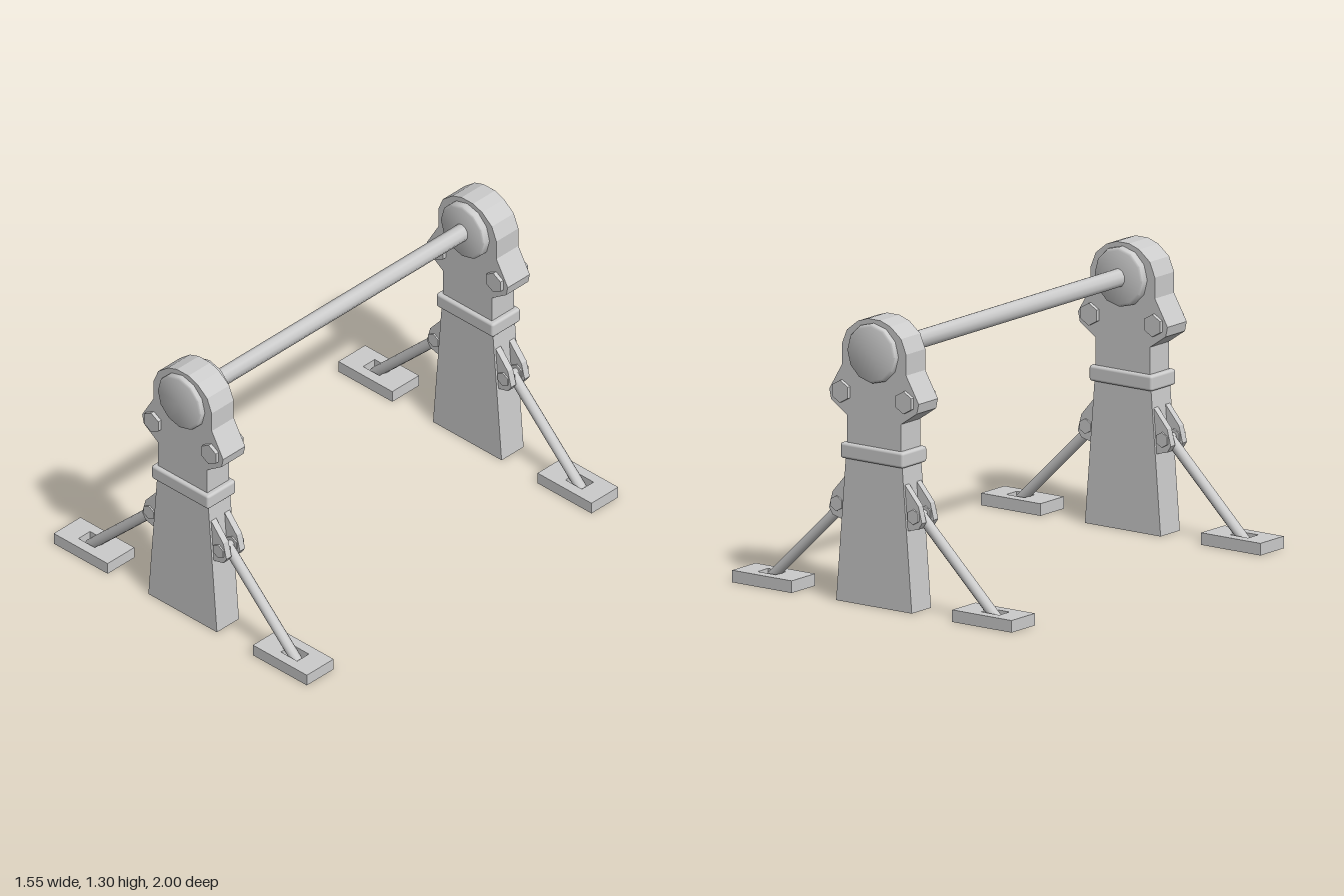
import * as THREE from 'three';
import { RoundedBoxGeometry } from 'three/addons/geometries/RoundedBoxGeometry.js';
import { toCreasedNormals } from 'three/addons/utils/BufferGeometryUtils.js';

const smooth = new THREE.MeshStandardMaterial({ color: 0xcccccc });

function add(parent, name, geometry, x = 0, y = 0, z = 0) {
  const mesh = new THREE.Mesh(geometry, smooth);
  mesh.name = name;
  mesh.position.set(x, y, z);
  parent.add(mesh);
  return mesh;
}

const toShape = (pts) => new THREE.Shape(pts.map(([x, y]) => new THREE.Vector2(x, y)));

// Flat plate in the xy plane, centred on z = 0
function plate(shape, depth) {
  const g = new THREE.ExtrudeGeometry(shape, { depth, bevelEnabled: false });
  return g.translate(0, 0, -depth / 2);
}

// Outline mirrored across x = 0 from its right half (bottom to top)
const mirrored = (half) => toShape([...half, ...half.map(([x, y]) => [-x, y]).reverse()]);

// Round or hexagonal bar along z, a vertex pointing up
function barZ(radius, length, sides) {
  const g = new THREE.CylinderGeometry(radius, radius, length, sides);
  return toCreasedNormals(g.rotateX(Math.PI / 2), 0.8);
}

// Disc with rounded rims, axis along z
function hubGeometry(r, halfDepth, b) {
  const h = halfDepth, k = b * 0.3;
  const profile = [
    [0, -h], [r - b, -h], [r - k, -h + k], [r, -h + b],
    [r, h - b], [r - k, h - k], [r - b, h], [0, h],
  ].map(([x, y]) => new THREE.Vector2(x, y));
  return toCreasedNormals(new THREE.LatheGeometry(profile, 12).rotateX(Math.PI / 2), 0.8);
}

// Diagonal brace with its lugs, bolts and foot, on the +x side
function createBrace() {
  const brace = new THREE.Group();
  brace.name = 'brace';

  // Foot: solid base with a pocket for the strut
  const rim = toShape([[0.445, -0.085], [0.775, -0.085], [0.775, 0.085], [0.445, 0.085]]);
  rim.holes.push(toShape([[0.57, -0.037], [0.57, 0.037], [0.67, 0.037], [0.67, -0.037]]));
  const rimGeo = plate(rim, 0.043).rotateX(-Math.PI / 2);
  add(brace, 'footRim', rimGeo, 0, 0.0335, 0);
  add(brace, 'footBase', new THREE.BoxGeometry(0.33, 0.012, 0.17), 0.61, 0.006, 0);

  // Strut from the lugs down into the pocket
  const top = new THREE.Vector3(0.205, 0.436, 0);
  const end = new THREE.Vector3(0.635, 0.02, 0);
  const dir = end.clone().sub(top);
  const strut = add(brace, 'strut',
    toCreasedNormals(new THREE.CylinderGeometry(0.025, 0.025, dir.length(), 12), 0.8));
  strut.position.copy(top).add(end).multiplyScalar(0.5);
  strut.quaternion.setFromUnitVectors(new THREE.Vector3(0, 1, 0), dir.normalize());

  // Pair of lugs with hexagonal bolts and the pin between them
  const lug = toShape([
    [0.13, 0.37], [0.175, 0.367], [0.238, 0.383], [0.258, 0.413],
    [0.238, 0.488], [0.163, 0.575], [0.13, 0.575],
  ]);
  for (const z of [-0.043, 0.043]) {
    add(brace, 'lug', plate(lug, 0.032), 0, 0, z);
    add(brace, 'lugBolt', barZ(0.035, 0.047, 6), 0.2125, 0.4375, z);
  }
  add(brace, 'lugPin', barZ(0.018, 0.1, 10), 0.2125, 0.4375, 0);
  return brace;
}

// One upright stand, centred on its own z = 0
function createStand() {
  const stand = new THREE.Group();
  stand.name = 'stand';
  const depth = 0.14;

  add(stand, 'post', plate(mirrored([[0.21, 0], [0.154, 0.69]]), depth));
  add(stand, 'collar', new RoundedBoxGeometry(0.35, 0.072, 0.18, 2, 0.013), 0, 0.69, 0);
  add(stand, 'head', plate(mirrored([
    [0.15, 0.69], [0.15, 0.85], [0.238, 0.91], [0.248, 0.955], [0.178, 1.075],
    [0.178, 1.17], [0.15, 1.237], [0.09, 1.285], [0.035, 1.304],
  ]), depth));
  add(stand, 'hub', hubGeometry(0.136, 0.1, 0.014), 0, 1.152, -0.005);

  for (const side of [-1, 1]) {
    add(stand, 'headBolt', barZ(0.051, 0.176, 6), side * 0.176, 0.955, 0);
    const brace = createBrace();
    if (side < 0) brace.rotation.y = Math.PI;
    stand.add(brace);
  }
  return stand;
}

export function createModel() {
  const model = new THREE.Group();
  model.name = 'barStand';

  // Two matching stands facing away from each other
  for (const side of [-1, 1]) {
    const stand = createStand();
    stand.position.z = side * 0.905;
    if (side < 0) stand.rotation.y = Math.PI;
    model.add(stand);
  }

  // Long bar joining the hubs
  const bar = add(model, 'crossBar', barZ(0.043, 1.7, 10), 0, 1.15, 0);
  bar.scale.x = 0.87;
  return model;
}
